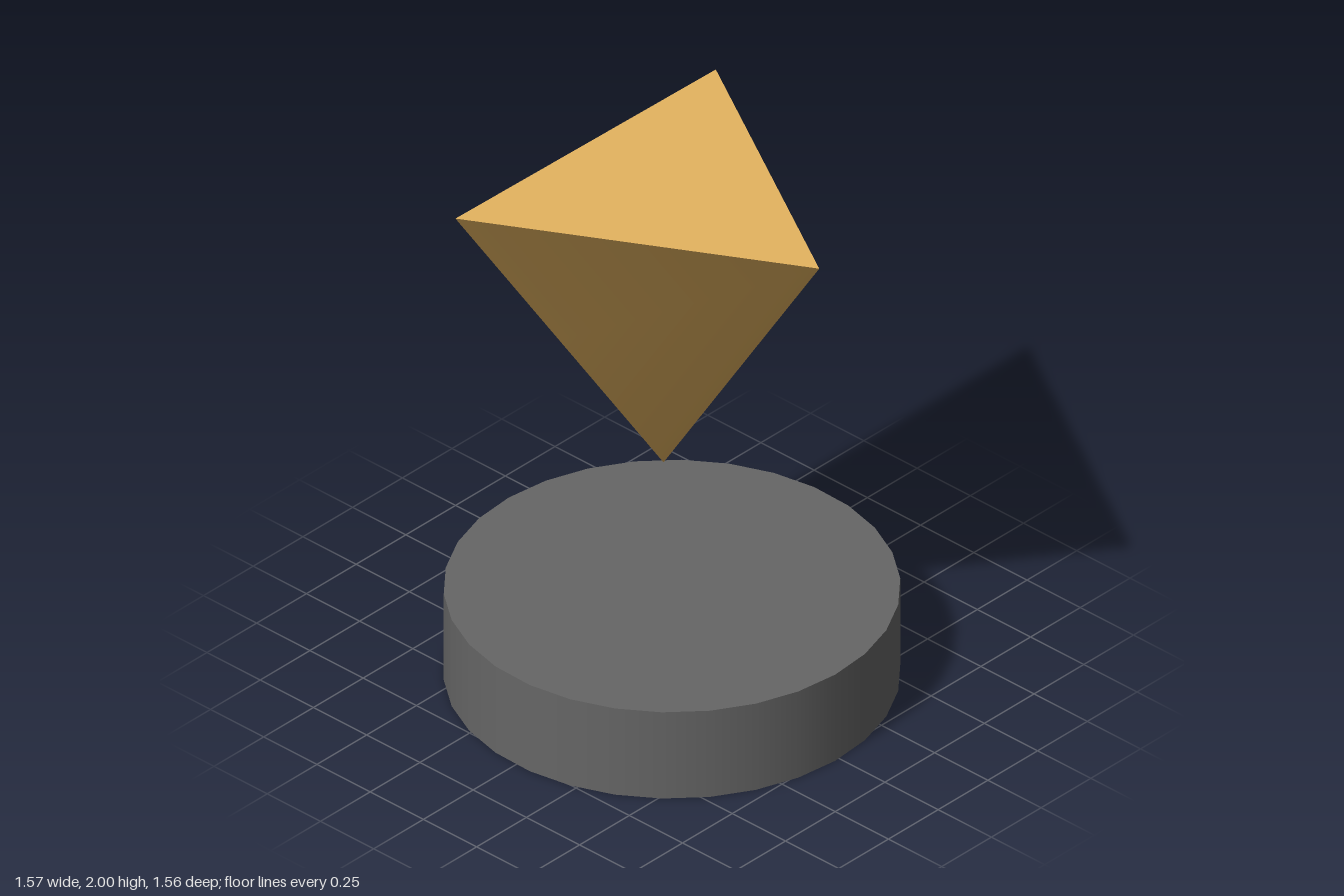
import * as THREE from 'three';

const SIDES = 3;
const ROWS = 2;

// Three-sided cone standing on its tip, smooth-shaded round the sides, flat on top
function pyramidGeometry(radius, height) {
  const g = new THREE.CylinderGeometry(radius, 0, height, SIDES, ROWS, false, -0.54);
  // Each tip vertex takes the normal of the next corner round
  const n = g.attributes.normal;
  const tip = ROWS * (SIDES + 1);
  for (let i = 0; i < SIDES; i++) {
    n.setXYZ(tip + i, n.getX(i + 1), n.getY(i + 1), n.getZ(i + 1));
  }
  return g;
}

export function createModel() {
  const model = new THREE.Group();

  // Round plinth
  const base = new THREE.Mesh(
    new THREE.CylinderGeometry(0.785, 0.785, 0.355, 30, 1, false, 0.08),
    new THREE.MeshStandardMaterial({ color: 0x666666 })
  );
  base.name = 'base';
  base.position.y = 0.1775;
  model.add(base);

  // Floating inverted pyramid
  const pyramid = new THREE.Mesh(
    pyramidGeometry(0.743, 1.14),
    new THREE.MeshStandardMaterial({ color: 0xe5b460 })
  );
  pyramid.name = 'floatingPyramid';
  pyramid.position.set(-0.026, 1.43, 0.015);
  model.add(pyramid);

  return model;
}
